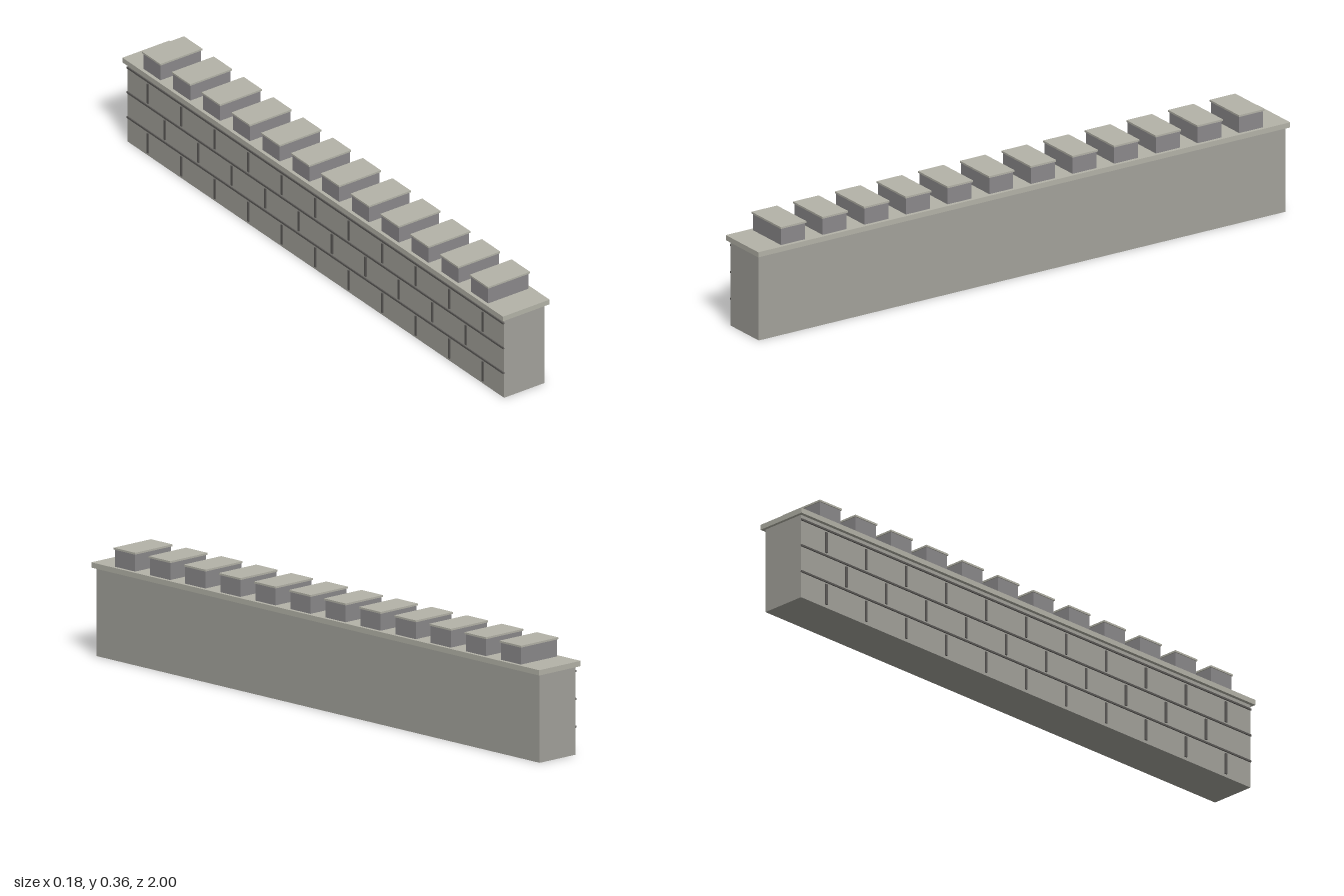
import * as THREE from 'three';

const mat = (color) => new THREE.MeshStandardMaterial({ color });
const stone = mat(0xa3a29b), trim = mat(0xb4b3a8), dark = mat(0x8b898b), mortar = mat(0x5c5a58);

// Box spanning y0..y1, centred on x and z
function block(name, material, width, y0, y1, depth, x = 0, z = 0) {
  const mesh = new THREE.Mesh(new THREE.BoxGeometry(width, y1 - y0, depth), material);
  mesh.name = name;
  mesh.position.set(x, (y0 + y1) / 2, z);
  return mesh;
}

export function createModel() {
  const wall = new THREE.Group();
  wall.name = 'battlementWall';

  // Wall body and projecting coping
  wall.add(block('wallBody', stone, 0.156, 0, 0.283, 1.98));
  wall.add(block('coping', trim, 0.18, 0.283, 0.3, 2));

  // Row of capped merlons
  const count = 12, spacing = 0.1566;
  for (let i = 0; i < count; i++) {
    const merlon = new THREE.Group();
    merlon.name = 'merlon';
    merlon.position.z = (i - (count - 1) / 2) * spacing;
    merlon.add(block('merlonBlock', dark, 0.156, 0.3, 0.355, 0.09));
    merlon.add(block('merlonCap', trim, 0.162, 0.355, 0.361, 0.096));
    wall.add(merlon);
  }

  // Raised mortar lines in running bond on the outer face
  const joints = new THREE.Group();
  joints.name = 'mortarJoints';
  const rowHeight = 0.089, brick = 0.176, faceX = -0.079;
  for (let row = 0; row < 3; row++) {
    const y = row * rowHeight;
    joints.add(block('bedJoint', mortar, 0.006, y + 0.086, y + 0.092, 1.98, faceX));
    const n = row % 2 ? 10 : 11;
    for (let i = 0; i < n; i++) {
      const z = (i - (n - 1) / 2) * brick;
      joints.add(block('headJoint', mortar, 0.006, y + 0.01, y + 0.08, 0.008, faceX, z));
    }
  }
  wall.add(joints);
  return wall;
}
